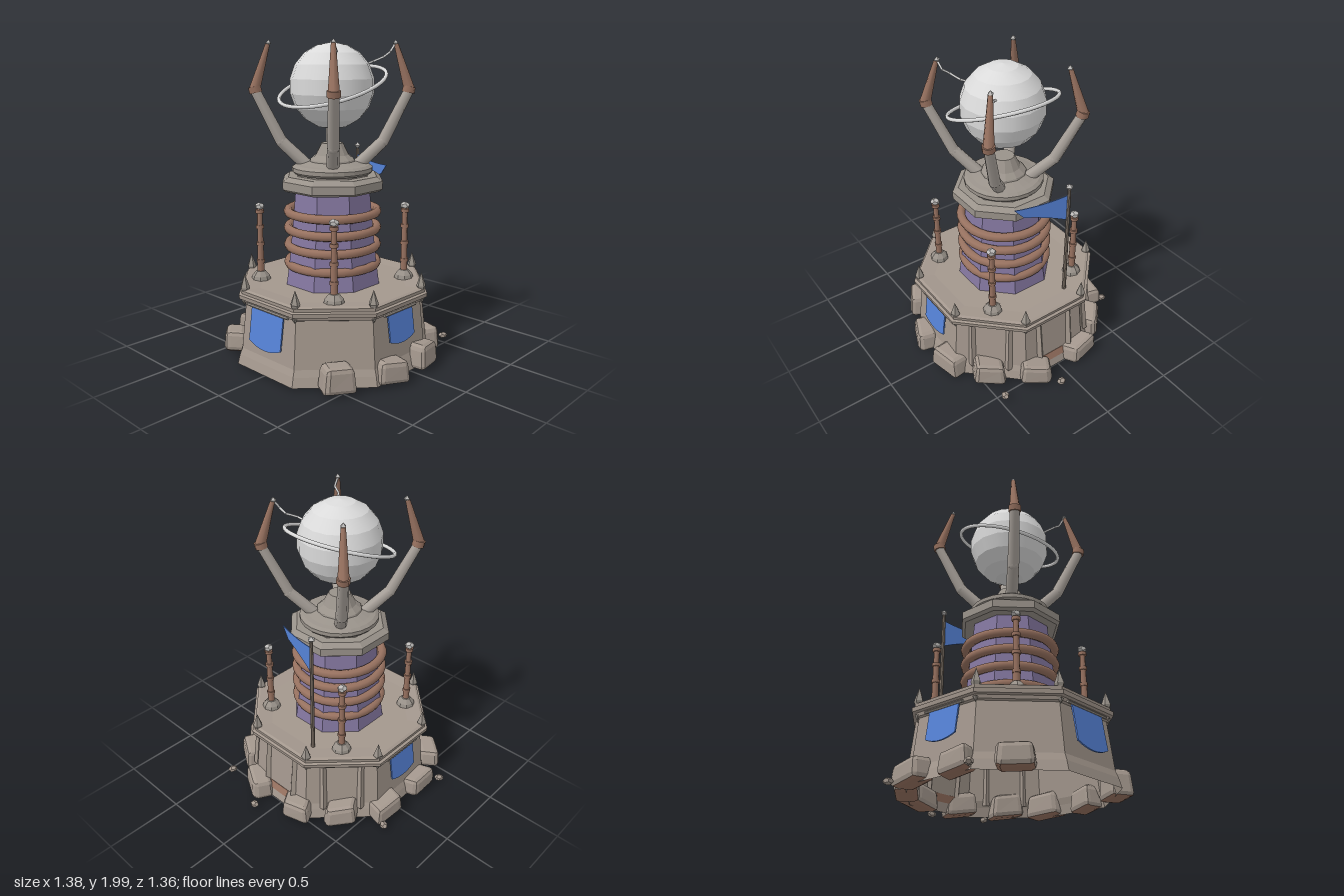
import * as THREE from 'three';
import { RoundedBoxGeometry } from 'three/addons/geometries/RoundedBoxGeometry.js';

const mat = (name, color, flatShading = true, side = THREE.FrontSide) => {
  const m = new THREE.MeshStandardMaterial({ color, flatShading, side });
  m.name = name;
  return m;
};

export function createModel() {
  const stone = mat('stone', 0xa3978d, true, THREE.DoubleSide);
  const trim = mat('trim stone', 0x99928a);
  const pale = mat('pale stone', 0xa8a19a, false);
  const copper = mat('copper', 0x987260, false);
  const blue = mat('blue cloth', 0x5582d6, true, THREE.DoubleSide);
  const purple = mat('purple wall', 0x8477a0);
  const silver = mat('silver', 0xdadada, false);
  const wood = mat('pole wood', 0x877a6e);
  const crystal = mat('crystal', 0xbcbab8);

  const root = new THREE.Group();
  root.name = 'orbTower';
  const model = new THREE.Group();
  model.name = 'tower';
  model.position.set(0.02, 0, 0.085);
  root.add(model);

  const V = (x, y, z) => new THREE.Vector3(x, y, z);
  const add = (parent, name, geo, material, x = 0, y = 0, z = 0) => {
    const m = new THREE.Mesh(geo, material);
    m.name = name;
    m.position.set(x, y, z);
    parent.add(m);
    return m;
  };
  // Tapered rod between two points
  const rod = (parent, name, a, b, ra, rb, material, sides = 8) => {
    const d = b.clone().sub(a);
    const m = add(parent, name, new THREE.CylinderGeometry(rb, ra, d.length(), sides), material);
    m.position.copy(a).addScaledVector(d, 0.5);
    m.quaternion.setFromUnitVectors(V(0, 1, 0), d.normalize());
    return m;
  };
  // Octagonal ring shape; radii are measured to the flat sides
  const K = 1 / Math.cos(Math.PI / 8);
  const octagon = (pts) => new THREE.LatheGeometry(
    pts.map(([r, y]) => new THREE.Vector2(r * K, y)), 8, Math.PI / 8);
  const round = (pts, n = 16) => new THREE.LatheGeometry(pts.map((p) => new THREE.Vector2(...p)), n);
  // Group turned to face an angle around the tower
  const facing = (name, angle) => {
    const g = new THREE.Group();
    g.name = name;
    g.rotation.y = angle;
    model.add(g);
    return g;
  };

  // Hollow base, open underneath
  add(model, 'baseWall', octagon([[0.595, 0.03], [0.58, 0.09], [0.565, 0.13], [0.535, 0.43]]), stone);
  add(model, 'baseRim', octagon([[0.53, 0.415], [0.55, 0.425], [0.555, 0.445], [0.575, 0.45],
    [0.578, 0.475], [0.56, 0.48], [0.562, 0.5], [0.545, 0.508], [0.45, 0.5], [0, 0.5]]), stone);
  add(model, 'ceiling', octagon([[0, 0.415], [0.535, 0.415]]), stone);

  // Spikes and brackets at the rim corners
  for (let i = 0; i < 8; i++) {
    const a = Math.PI / 8 + i * Math.PI / 4, s = Math.sin(a), c = Math.cos(a);
    add(model, 'rimSpike', round([[0, 0.49], [0.022, 0.495], [0.03, 0.52], [0, 0.605]], 5), trim, s * 0.585, 0, c * 0.585);
    add(model, 'rimBracket', new THREE.ConeGeometry(0.018, 0.03, 5).rotateX(Math.PI), trim, s * 0.59, 0.42, c * 0.59);
  }

  // Pilasters on the three rear walls
  for (const a of [0.75, 1, 1.25]) {
    const g = facing('rearPilasters', a * Math.PI);
    for (const x of [-0.12, 0.12]) rod(g, 'pilaster', V(x, 0.1, 0.573), V(x, 0.43, 0.54), 0.024, 0.02, stone, 4);
  }
  // Bare earth at the foot of the rear wall
  const earth = add(facing('rearFoot', Math.PI), 'earthPatch', new THREE.BoxGeometry(0.26, 0.05, 0.008), copper, -0.06, 0.112, 0.573);
  earth.rotation.x = -0.36;

  // Hanging banners
  const cloth = new THREE.Shape();
  cloth.moveTo(-0.14, 0);
  cloth.lineTo(-0.14, -0.21);
  cloth.quadraticCurveTo(-0.07, -0.242, 0, -0.242);
  cloth.quadraticCurveTo(0.07, -0.242, 0.14, -0.21);
  cloth.lineTo(0.14, 0);
  const clothGeo = new THREE.ExtrudeGeometry(cloth, { depth: 0.009, bevelEnabled: false, curveSegments: 4 });
  [[0, 1], [Math.PI / 2, 0.81], [-Math.PI / 2, 0.81]].forEach(([a, s]) => {
    const g = facing('banner', a);
    const b = add(g, 'bannerCloth', clothGeo, blue, 0, 0.425, 0.549);
    b.scale.set(s, s, 1);
    b.rotation.x = -0.14;
    rod(g, 'bannerRod', V(-0.18 * s, 0.428, 0.558), V(0.18 * s, 0.428, 0.558), 0.009, 0.009, trim, 6);
  });

  // Purple tower body with copper hoops
  add(model, 'towerBody', octagon([[0.29, 0.5], [0.27, 0.65], [0.245, 0.9], [0.225, 1.13]]), purple);
  for (const y of [0.62, 0.735, 0.845, 0.95])
    add(model, 'hoop', new THREE.TorusGeometry(0.28, 0.029, 8, 32).rotateX(Math.PI / 2), copper, 0, y);

  // Crown, round collar and cap
  add(model, 'crown', octagon([[0.2, 1.09], [0.285, 1.09], [0.305, 1.105], [0.305, 1.155],
    [0.27, 1.18], [0.215, 1.18], [0.215, 1.2], [0, 1.2]]), trim);
  add(model, 'collar', round([[0.2, 1.19], [0.24, 1.192], [0.252, 1.205], [0.252, 1.23], [0.23, 1.245],
    [0.2, 1.25], [0.15, 1.265], [0, 1.265]], 24), trim);
  add(model, 'cap', round([[0.15, 1.25], [0.14, 1.275], [0.105, 1.305], [0.068, 1.378], [0, 1.378]], 12), trim);

  // Four bent arms, each above a copper post
  for (const sx of [-1, 1]) for (const sz of [-1, 1]) {
    const arm = new THREE.Group();
    arm.name = 'arm';
    model.add(arm);
    const p = (o, y) => V(sx * o, y, sz * o);
    rod(arm, 'armRoot', p(0.1, 1.22), p(0.222, 1.385), 0.04, 0.037, pale);
    add(arm, 'armElbow', new THREE.SphereGeometry(0.037, 10, 8), pale).position.copy(p(0.222, 1.385));
    rod(arm, 'armShaft', p(0.222, 1.385), p(0.333, 1.7), 0.037, 0.031, pale);
    rod(arm, 'armKnee', p(0.329, 1.685), p(0.335, 1.722), 0.039, 0.039, copper);
    rod(arm, 'armClaw', p(0.335, 1.7), p(0.274, 1.975), 0.034, 0.014, copper);
    add(arm, 'armTip', new THREE.OctahedronGeometry(0.021), crystal).position.copy(p(0.271, 1.98));

    // Sparking wire from the claws on the +x side to the orb
    if (sx > 0) {
      const path = [p(0.271, 1.98), V(0.262, 1.93, sz * 0.235), V(0.22, 1.9, sz * 0.225),
        V(0.185, 1.872, sz * 0.165), V(0.15, 1.858, sz * 0.15)];
      for (let i = 0; i < 4; i++) rod(arm, 'wire', path[i], path[i + 1], 0.007, 0.007, silver, 6);
    }

    const post = new THREE.Group();
    post.name = 'post';
    post.position.copy(p(0.325, 0));
    model.add(post);
    add(post, 'postFoot', round([[0.062, 0.5], [0.056, 0.525], [0.03, 0.555], [0, 0.555]], 8), trim);
    rod(post, 'postShaft', V(0, 0.54, 0), V(0, 0.965, 0), 0.022, 0.016, copper);
    for (const y of [0.62, 0.735, 0.845, 0.945])
      add(post, 'postBand', new THREE.CylinderGeometry(0.026, 0.026, 0.022, 8), copper, 0, y);
    add(post, 'postCrystal', new THREE.DodecahedronGeometry(0.031), crystal, 0, 0.977).scale.y = 0.75;
  }

  // Orb of flat bands, with a tilted halo
  const orb = new THREE.Group();
  orb.name = 'orb';
  orb.position.y = 1.725;
  model.add(orb);
  const ringPoint = (i) => [0.262 * Math.sin(i * Math.PI / 9), -0.262 * Math.cos(i * Math.PI / 9)];
  for (let i = 0; i < 9; i++) add(orb, 'orbBand', round([ringPoint(i), ringPoint(i + 1)]), silver);
  add(model, 'halo', new THREE.TorusGeometry(0.337, 0.012, 8, 48).rotateX(Math.PI / 2), silver, 0, 1.728).rotation.x = 0.345;

  // Flag on the rear deck
  const flag = new THREE.Group();
  flag.name = 'flag';
  flag.position.set(-0.175, 0, -0.43);
  model.add(flag);
  rod(flag, 'flagPole', V(0, 0.49, 0), V(0, 1.285, 0), 0.013, 0.011, wood);
  add(flag, 'poleTip', new THREE.OctahedronGeometry(0.027), crystal, 0, 1.305).scale.y = 0.8;
  const pennant = new THREE.Shape();
  pennant.moveTo(0, 1.245);
  pennant.quadraticCurveTo(0.17, 1.205, 0.35, 1.215);
  pennant.lineTo(0.29, 1.15);
  pennant.quadraticCurveTo(0.14, 1.12, 0, 1.06);
  add(flag, 'pennant', new THREE.ExtrudeGeometry(pennant, { depth: 0.005, bevelEnabled: false, curveSegments: 6 }), blue)
    .rotation.y = -0.27;

  // Boulders against the foot, with earthy undersides: x, z, width, height
  const boulders = [[-0.16, -0.505, 0.2, 0.13], [0.2, -0.505, 0.2, 0.14], [-0.4, -0.335, 0.2, 0.14],
    [0.445, -0.335, 0.2, 0.15], [-0.57, -0.11, 0.21, 0.13], [0.6, -0.11, 0.21, 0.15],
    [-0.57, 0.23, 0.2, 0.13], [0.6, 0.21, 0.2, 0.14], [-0.44, 0.515, 0.2, 0.13], [0.47, 0.51, 0.19, 0.16]];
  const skin = [stone, stone, stone, copper, stone, stone];
  boulders.forEach(([x, z, w, h], i) => {
    const geo = new RoundedBoxGeometry(w, h, 0.14, 1, 0.03);
    const pos = geo.attributes.position;
    for (let j = 0; j < pos.count; j++) {
      const px = pos.getX(j), py = pos.getY(j), pz = pos.getZ(j);
      pos.setXYZ(j, px * (1 - py * 1.2) + 0.012 * Math.sin(pz * 25 + i * 2),
        py + 0.012 * Math.sin(px * 20 + i * 3), pz * (1 - py) + 0.012 * Math.sin(px * 17 + i));
    }
    geo.computeVertexNormals();
    const b = add(root, 'boulder', geo, skin, x, 0.025 + h / 2, z);
    b.rotation.y = Math.atan2(x - 0.02, z - 0.085) + 0.12 * Math.sin(i * 5);
  });

  // Loose pebbles
  [[0.095, -0.655], [0.46, -0.535], [-0.65, -0.21], [-0.65, 0.39]].forEach(([x, z], i) => {
    const b = add(root, 'pebble', new THREE.DodecahedronGeometry(0.032), stone, x, 0.045, z);
    b.scale.set(1, 0.65, 0.8);
    b.rotation.y = i * 1.3;
  });

  return root;
}
